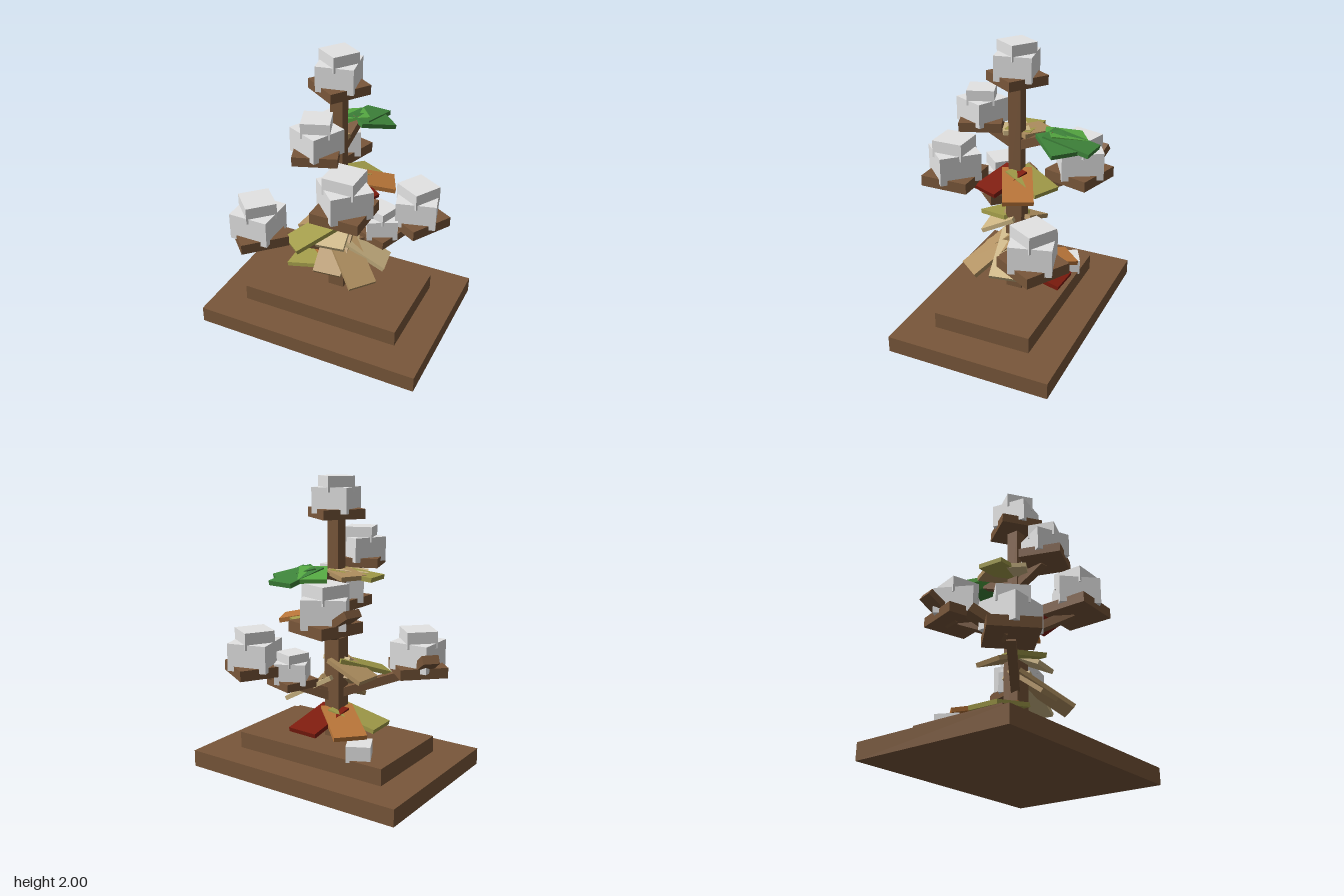
import * as THREE from 'three';

const mat = (name, color) => Object.assign(new THREE.MeshStandardMaterial({ color }), { name });

export function createModel() {
  const M = {
    wood: mat('brown wood', 0x79573a),
    white: mat('cotton white', 0xe4e4e4),
    red: mat('dark red', 0x7f1c0e),
    orange: mat('orange', 0xba7639),
    olive: mat('olive', 0xa39d4a),
    tan: mat('tan', 0xb09060),
    sand: mat('light tan', 0xcdb684),
    green: mat('dark green', 0x3f853b),
    lime: mat('light green', 0x57ac43),
  };
  const model = new THREE.Group();
  model.name = 'cottonPlant';

  // Upright block standing on y0
  function block(parent, name, material, w, h, d, y0, turn = 0) {
    const m = new THREE.Mesh(new THREE.BoxGeometry(w, h, d), material);
    m.name = name;
    m.position.y = y0 + h / 2;
    m.rotation.y = turn;
    parent.add(m);
    return m;
  }

  // Board running from one point to another
  function plank(name, material, from, to, w, t) {
    const a = new THREE.Vector3(...from), b = new THREE.Vector3(...to);
    const m = new THREE.Mesh(new THREE.BoxGeometry(w, t, a.distanceTo(b)), material);
    m.name = name;
    m.position.copy(a).add(b).multiplyScalar(0.5);
    m.lookAt(b);
    model.add(m);
  }

  // Stepped base and two-part stem
  block(model, 'baseLower', M.wood, 1.61, 0.115, 1.15, 0);
  block(model, 'baseUpper', M.wood, 1.15, 0.115, 0.69, 0.115);
  block(model, 'stemLower', M.wood, 0.115, 0.71, 0.115, 0.22);
  block(model, 'stemUpper', M.wood, 0.086, 0.83, 0.086, 0.93);

  // Bolls: wooden cup, cotton body and a smaller crown, turned 45 degrees to each other
  const bolls = [ // x, y, z, body width, turn in degrees
    [0, 1.73, 0, 0.245, 10.8],
    [-0.457, 0.675, 0.313, 0.278, 0],
    [0.453, 0.675, -0.317, 0.278, 14.9],
    [0.207, 1.06, 0.355, 0.278, 45],
    [-0.177, 1.06, -0.377, 0.278, 29],
    [-0.025, 1.39, 0.265, 0.24, -25],
    [0.24, 0.588, -0.18, 0.213, 27],
  ];
  for (const [x, y, z, a, deg] of bolls) {
    const boll = new THREE.Group();
    boll.name = 'cottonBoll';
    boll.position.set(x, y, z);
    boll.rotation.y = THREE.MathUtils.degToRad(deg);
    block(boll, 'cup', M.wood, a * 1.18, a * 0.26, a * 1.18, 0, Math.PI / 4);
    block(boll, 'cotton', M.white, a, a * 0.68, a, a * 0.14);
    block(boll, 'crown', M.white, a * 0.757, a * 0.42, a * 0.757, a * 0.69, Math.PI / 4);
    model.add(boll);
  }

  // Fallen tuft on the base
  const tuft = block(model, 'fallenTuft', M.white, 0.16, 0.11, 0.16, 0.215, THREE.MathUtils.degToRad(27));
  tuft.position.x = -0.35;
  tuft.position.z = -0.25;

  // Branches from the stem to each boll
  const branches = [
    [0.53, [-0.44, 0.69, 0.3]],
    [0.53, [0.44, 0.69, -0.305]],
    [0.93, [0.195, 1.08, 0.335]],
    [0.93, [-0.167, 1.08, -0.355]],
    [1.3, [-0.025, 1.41, 0.25]],
    [1.3, [0.01, 1.41, -0.27]],
    [0.5, [0.23, 0.6, -0.17]],
  ];
  for (const [y, end] of branches) plank('branch', M.wood, [0, y, 0], end, 0.06, 0.06);

  // Side bracts propped against two of the bolls
  plank('sideBract', M.wood, [-0.645, 0.835, 0.145], [-0.47, 0.69, 0.3], 0.115, 0.06);
  plank('sideBract', M.wood, [-0.425, 1.22, -0.445], [-0.2, 1.07, -0.385], 0.12, 0.05);

  // Leaf clusters: shared node, width, then colour and tip of each leaflet
  const clusters = [
    { node: [0, 0.43, 0], w: 0.22, leaves: [
      ['olive', [-0.355, 0.35, 0.015]], ['orange', [-0.31, 0.355, -0.29]], ['red', [0.02, 0.35, -0.37]]] },
    { node: [0, 0.66, 0], w: 0.2, leaves: [
      ['tan', [0.285, 0.44, 0.23]], ['sand', [0.34, 0.47, -0.055]], ['tan', [0.025, 0.47, 0.25]]] },
    { node: [0, 0.78, 0], w: 0.2, leaves: [
      ['olive', [-0.225, 0.66, 0.29]], ['sand', [0.03, 0.67, 0.22]], ['tan', [-0.27, 0.67, -0.02]]] },
    { node: [0, 1.125, 0], w: 0.2, leaves: [
      ['orange', [0.335, 1.05, -0.16]], ['red', [0.26, 1.05, 0.115]], ['olive', [0.13, 1.06, -0.27]]] },
    { node: [0, 1.385, 0], w: 0.18, leaves: [
      ['olive', [-0.31, 1.355, 0.02]], ['tan', [-0.22, 1.365, -0.12]], ['sand', [-0.18, 1.365, 0.11]]] },
    { node: [0.02, 1.425, -0.23], w: 0.18, leaves: [
      ['green', [0.045, 1.365, -0.55]], ['green', [0.19, 1.37, -0.41]], ['lime', [-0.115, 1.38, -0.43]]] },
  ];
  for (const { node, w, leaves } of clusters)
    for (const [colour, tip] of leaves) plank('leaf', M[colour], node, tip, w, 0.03);

  return model;
}
